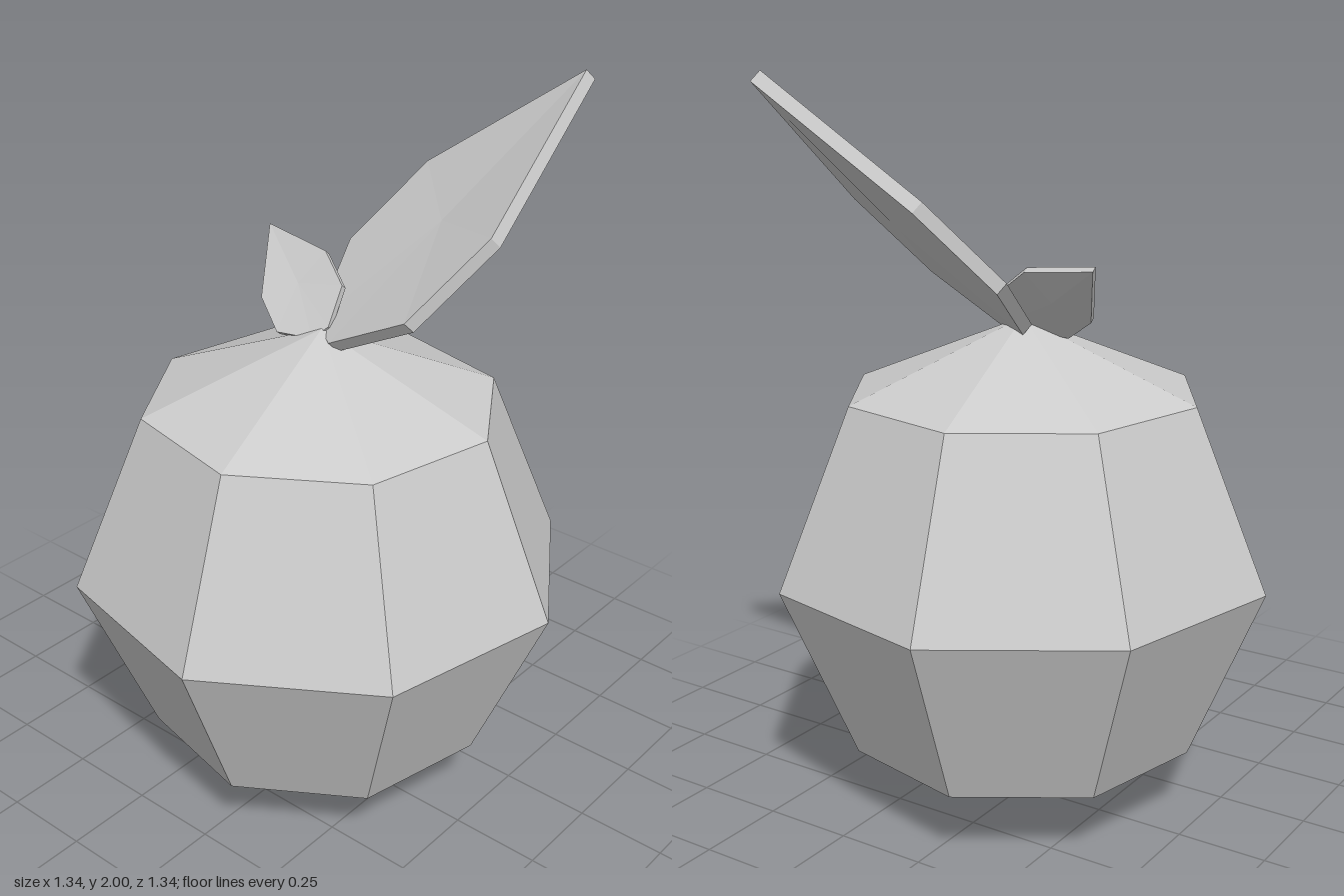
import * as THREE from 'three';

const material = new THREE.MeshStandardMaterial({ color: 0xcccccc, flatShading: true });

// Half outline of a leaf of length 1: [half width, distance from stem]
const HALF = [[0.07, 0], [0.283, 0.21], [0.283, 0.525]];
const OUTLINE = [...HALF, [0, 1], ...HALF.map(([x, y]) => [-x, y]).reverse()];

// Thin leaf, slightly cupped, running from base to tip; side points to its right edge
function makeLeaf(name, base, tip, side, thickness) {
  const axis = tip.clone().sub(base);
  const length = axis.length();
  axis.normalize();
  const normal = side.clone().cross(axis).normalize();
  const right = axis.clone().cross(normal);

  const positions = [];
  const n = OUTLINE.length;
  for (const s of [1, -1]) {
    const z = s * thickness / 2;
    OUTLINE.forEach(([x, y]) => positions.push(x * length, y * length, z));
    positions.push(0, 0.45 * length, z - 0.015 * length);
  }
  const index = [];
  const back = n + 1;
  for (let i = 0; i < n; i++) {
    const j = (i + 1) % n;
    index.push(n, i, j); // upper face
    index.push(back + n, back + j, back + i); // lower face
    index.push(i, back + i, back + j, i, back + j, j); // rim
  }
  const indexed = new THREE.BufferGeometry();
  indexed.setAttribute('position', new THREE.Float32BufferAttribute(positions, 3));
  indexed.setIndex(index);
  const geometry = indexed.toNonIndexed();
  geometry.applyMatrix4(new THREE.Matrix4().makeBasis(right, axis, normal).setPosition(base));
  geometry.computeVertexNormals();

  const leaf = new THREE.Mesh(geometry, material);
  leaf.name = name;
  return leaf;
}

export function createModel() {
  const group = new THREE.Group();
  group.name = 'fruit';
  const V = (x, y, z) => new THREE.Vector3(x, y, z);

  // Faceted round body: eight sides, four bands, turned ten degrees
  const R = 0.68;
  const profile = [];
  for (let i = 0; i <= 4; i++) {
    const a = (i * Math.PI) / 4;
    profile.push(new THREE.Vector2(i % 4 ? R * Math.sin(a) : 0, R - R * Math.cos(a)));
  }
  const body = new THREE.Mesh(new THREE.LatheGeometry(profile, 8, Math.PI / 18), material);
  body.name = 'body';
  group.add(body);

  // Two leaves sprouting from the top
  group.add(makeLeaf('largeLeaf', V(0.005, 1.335, -0.015), V(0.42, 1.985, -0.53), V(0.43, -0.03, 0.32), 0.036));
  group.add(makeLeaf('smallLeaf', V(0, 1.345, 0), V(-0.3, 1.53, -0.145), V(0.135, 0.13, -0.105), 0.018));

  return group;
}
